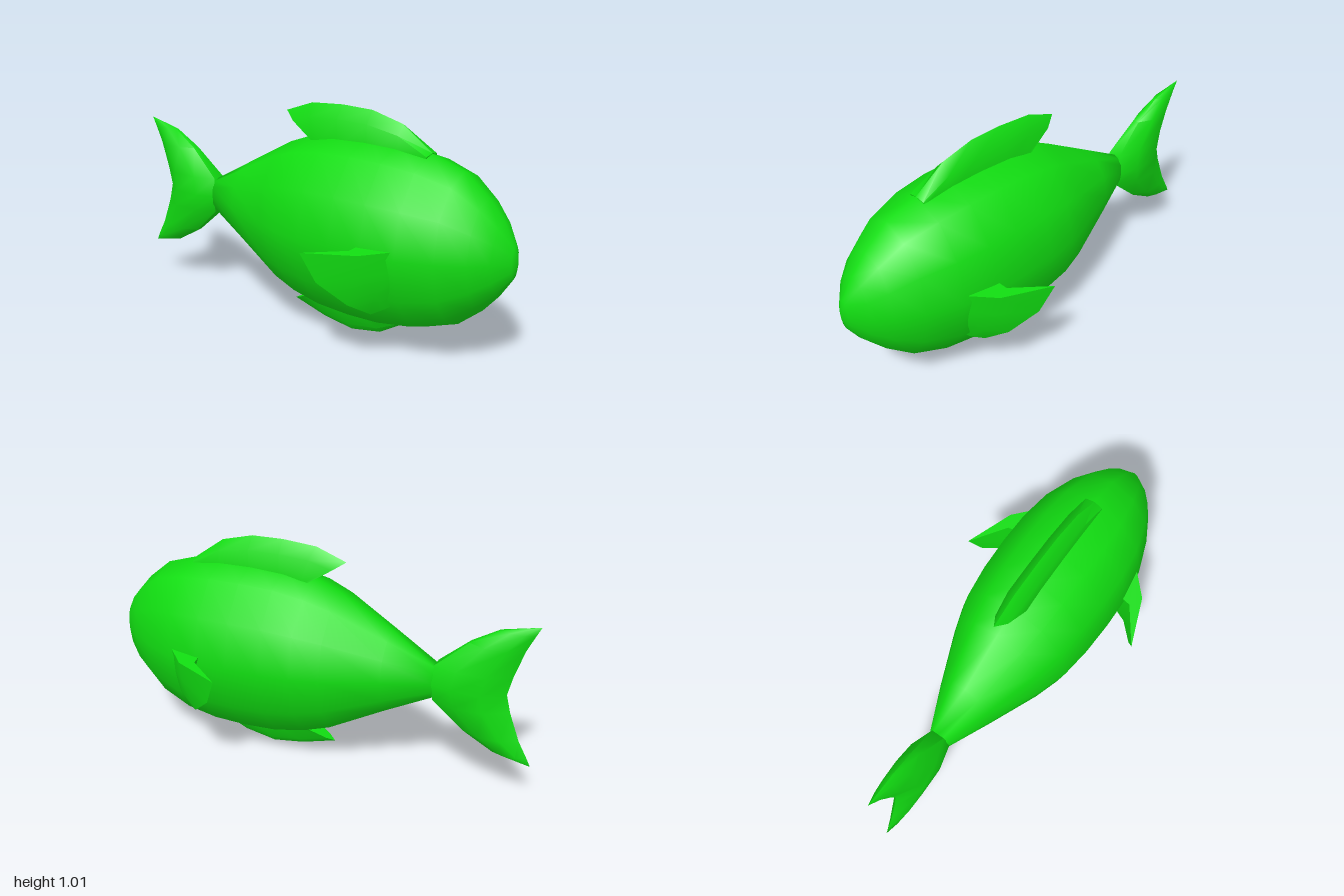
import * as THREE from 'three';
import { toCreasedNormals } from 'three/addons/utils/BufferGeometryUtils.js';

const material = new THREE.MeshStandardMaterial({ color: 0x11dd11 });

// Skins a list of equal-length point rings, caps both ends and faces the result outward.
function loft(name, rings, crease = 0.9) {
  const n = rings[0].length;
  const pts = rings.map(r => r.map(p => new THREE.Vector3(...p)));
  const tris = [];
  const add = (a, b, c) => {
    const area = b.clone().sub(a).cross(c.clone().sub(a)).length();
    if (area > 1e-8) tris.push([a, b, c]);
  };
  for (let i = 0; i < pts.length - 1; i++) {
    for (let j = 0; j < n; j++) {
      const k = (j + 1) % n;
      add(pts[i][j], pts[i][k], pts[i + 1][k]);
      add(pts[i][j], pts[i + 1][k], pts[i + 1][j]);
    }
  }
  const first = pts[0], last = pts[pts.length - 1];
  for (let j = 1; j < n - 1; j++) {
    add(first[0], first[j + 1], first[j]);
    add(last[0], last[j], last[j + 1]);
  }
  // signed volume about a point inside decides the winding
  const o = first[0];
  const volume = tris.reduce((s, [a, b, c]) => s + a.clone().sub(o).dot(b.clone().sub(o).cross(c.clone().sub(o))), 0);
  const flat = tris.flatMap(([a, b, c]) => (volume < 0 ? [a, c, b] : [a, b, c]));
  const geometry = new THREE.BufferGeometry().setFromPoints(flat);
  const mesh = new THREE.Mesh(toCreasedNormals(geometry, crease), material);
  mesh.name = name;
  return mesh;
}

// Twelve-sided oval body; each station is z, half width, bottom, top.
function makeBody() {
  const stations = [
    [1, 0, 0.49, 0.49], [0.985, 0.032, 0.42, 0.56], [0.93, 0.105, 0.335, 0.65],
    [0.86, 0.165, 0.255, 0.73], [0.75, 0.225, 0.165, 0.82], [0.6, 0.28, 0.113, 0.868],
    [0.45, 0.302, 0.092, 0.888], [0.3, 0.305, 0.09, 0.893], [0.14, 0.298, 0.1, 0.887],
    [0, 0.28, 0.13, 0.86], [-0.12, 0.24, 0.17, 0.815], [-0.36, 0.14, 0.305, 0.683],
    [-0.56, 0.05, 0.41, 0.573],
  ];
  return loft('body', stations.map(([z, w, lo, hi]) =>
    Array.from({ length: 12 }, (_, i) => {
      const a = (i / 12) * Math.PI * 2;
      return [w * Math.sin(a), (lo + hi) / 2 + ((hi - lo) / 2) * Math.cos(a), z];
    })), 1.2);
}

// Tail as a stack of slices: y, front z, back z, front and middle half widths.
function makeTail() {
  const slices = [
    [0.175, -0.99, -0.995, 0, 0], [0.21, -0.83, -0.978, 0.006, 0.022],
    [0.285, -0.7, -0.937, 0.015, 0.045], [0.41, -0.56, -0.89, 0.03, 0.066],
    [0.49, -0.55, -0.87, 0.05, 0.076], [0.575, -0.56, -0.89, 0.03, 0.066],
    [0.7, -0.7, -0.93, 0.015, 0.045], [0.775, -0.82, -0.965, 0.006, 0.022],
    [0.815, -0.98, -0.985, 0, 0],
  ];
  return loft('tailFin', slices.map(([y, f, b, wf, wm]) => {
    const m1 = f + (b - f) * 0.3, m2 = f + (b - f) * 0.7;
    return [[wf, y, f], [wm, y, m1], [wm * 0.95, y, m2], [0, y, b],
      [-wm * 0.95, y, m2], [-wm, y, m1], [-wf, y, f]];
  }));
}

// Fin on the centre line; each station is base z, base y, tip z, tip y.
function centreFin(name, stations, baseWidth, shoulderWidth, shoulder) {
  return loft(name, stations.map(([bz, by, tz, ty], i) => {
    const end = i === stations.length - 1 ? 0.75 : 1;
    const z = bz + (tz - bz) * shoulder, y = by + (ty - by) * shoulder;
    const ws = shoulderWidth * end;
    return [[baseWidth, by, bz], [ws, y, z], [0, ty, tz], [-ws, y, z], [-baseWidth, by, bz]];
  }));
}

// Swept side fin: a fan of slices from the top edge down to the belly.
function sideFin(name, side) {
  const rays = [
    // root front, middle front, tip, middle back, root back
    [[0.26, 0.525, 0.6], [0.365, 0.515, 0.49], [0.45, 0.505, 0.27], [0.335, 0.515, 0.43], [0.25, 0.525, 0.44]],
    [[0.25, 0.44, 0.6], [0.35, 0.42, 0.49], [0.415, 0.38, 0.325], [0.325, 0.41, 0.435], [0.24, 0.44, 0.46]],
    [[0.22, 0.37, 0.61], [0.3, 0.33, 0.53], [0.345, 0.285, 0.43], [0.285, 0.32, 0.47], [0.2, 0.37, 0.48]],
    [[0.18, 0.31, 0.61], [0.24, 0.265, 0.55], [0.262, 0.232, 0.49], [0.225, 0.26, 0.49], [0.16, 0.31, 0.5]],
  ];
  return loft(name, rays.map(r => r.map(([x, y, z]) => [x * side, y, z])));
}

export function createModel() {
  const model = new THREE.Group();
  model.name = 'fish';
  model.add(makeBody(), makeTail());

  model.add(centreFin('dorsalFin', [
    [0.59, 0.84, 0.6, 0.87], [0.46, 0.84, 0.46, 0.97], [0.31, 0.84, 0.31, 1.01],
    [0.16, 0.84, 0.16, 1.015], [0.06, 0.84, 0, 1.005], [0.03, 0.845, -0.14, 0.955],
  ], 0.045, 0.042, 0.68));

  model.add(centreFin('bellyFin', [
    [0.48, 0.13, 0.48, 0.09], [0.37, 0.13, 0.37, 0.025], [0.22, 0.13, 0.22, 0],
    [0.1, 0.14, 0.07, 0.025], [0.04, 0.14, -0.095, 0.075],
  ], 0.055, 0.03, 0.74));

  model.add(sideFin('leftSideFin', 1), sideFin('rightSideFin', -1));
  return model;
}
